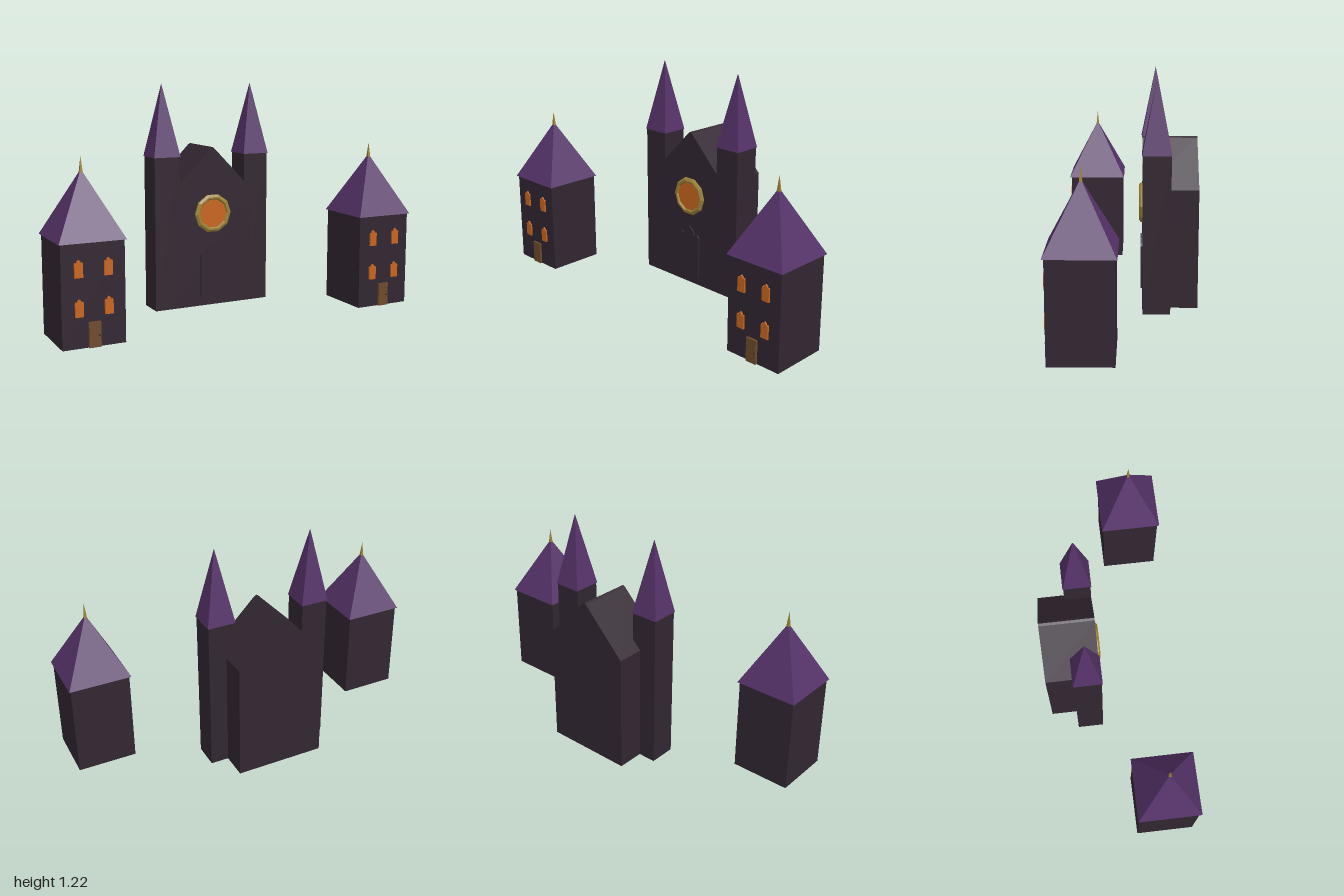
import * as THREE from 'three';

const mat = (name, color) => {
  const m = new THREE.MeshStandardMaterial({ color });
  m.name = name;
  return m;
};

export function createModel() {
  const stone = mat('dark stone', 0x322631);
  const slate = mat('purple slate', 0x553268);
  const glass = mat('amber glass', 0xc8651f);
  const wood = mat('brown wood', 0x6e4a2c);
  const gold = mat('old gold', 0x9c8238);
  const iron = mat('black iron', 0x1c1512);

  const add = (parent, name, geometry, material, x = 0, y = 0, z = 0) => {
    const mesh = new THREE.Mesh(geometry, material);
    mesh.name = name;
    mesh.position.set(x, y, z);
    parent.add(mesh);
    return mesh;
  };
  // Box standing on y
  const block = (parent, name, w, h, d, material, x, y, z) =>
    add(parent, name, new THREE.BoxGeometry(w, h, d), material, x, y + h / 2, z);
  // Square pyramid or small spike standing on y
  const pyramid = (parent, name, half, h, material, x, y, z) => {
    const g = new THREE.ConeGeometry(half * Math.SQRT2, h, 4).toNonIndexed();
    g.rotateY(Math.PI / 4);
    g.computeVertexNormals();
    return add(parent, name, g, material, x, y + h / 2, z);
  };
  const extrude = (points, depth) =>
    new THREE.ExtrudeGeometry(
      new THREE.Shape(points.map(([x, y]) => new THREE.Vector2(x, y))),
      { depth, bevelEnabled: false });
  // Opening with raised shoulders and a pointed head, w wide, h to the tip
  const archedPanel = (w, h, head, depth) => {
    const right = [[0.5, 0], [0.5, h - head], [0.42, h - head * 0.75],
      [0.27, h - head * 0.9], [0.2, h - head * 0.4]].map(([x, y]) => [x * w, y]);
    const left = right.map(([x, y]) => [-x, y]).reverse();
    return extrude([...right, [0, h], ...left], depth);
  };

  const model = new THREE.Group();
  model.name = 'churchAndTowers';

  // Church: nave with gable front
  const church = new THREE.Group();
  church.name = 'church';
  model.add(church);
  const gable = [[-0.242, 0], [0.242, 0], [0.242, 0.634], [0.012, 0.868],
    [0, 0.876], [-0.012, 0.868], [-0.242, 0.634]];
  add(church, 'nave', extrude(gable, 0.29), stone, 0, 0, -0.367);

  // Flanking bell towers with spires
  for (const s of [-1, 1]) {
    block(church, 'bellTower', 0.144, 0.83, 0.144, stone, s * 0.267, 0, -0.149);
    pyramid(church, 'spire', 0.076, 0.39, slate, s * 0.267, 0.83, -0.149);
  }

  // Stone church door
  add(church, 'churchDoor', archedPanel(0.146, 0.29, 0.055, 0.009), stone, 0, 0.05, -0.077);

  // Round window: ten-sided gold rim around amber glass
  const rim = new THREE.LatheGeometry(
    [[0.107, -0.004], [0.107, 0.01], [0.095, 0.018], [0.086, 0.018], [0.078, 0.008]]
      .map(([r, y]) => new THREE.Vector2(r, y)), 10).toNonIndexed();
  rim.rotateY(Math.PI / 10 * 5);
  rim.rotateX(Math.PI / 2);
  rim.computeVertexNormals();
  const rimMesh = add(church, 'roseWindowRim', rim, gold, 0, 0.513, -0.077);
  rimMesh.material.side = THREE.DoubleSide;
  add(church, 'roseWindowGlass',
    new THREE.CylinderGeometry(0.08, 0.08, 0.009, 32).rotateX(Math.PI / 2),
    glass, 0, 0.513, -0.0715);

  // Two free-standing towers
  const pane = archedPanel(0.042, 0.086, 0.018, 0.009);
  for (const s of [-1, 1]) {
    const tower = new THREE.Group();
    tower.name = s < 0 ? 'rightTower' : 'leftTower';
    tower.position.set(s * 0.833, 0, 0.2);
    model.add(tower);
    block(tower, 'towerBody', 0.314, 0.502, 0.312, stone, 0, 0, 0);
    pyramid(tower, 'towerRoof', 0.166, 0.325, slate, 0, 0.502, 0);
    pyramid(tower, 'finial', 0.009, 0.09, gold, 0, 0.8, 0);
    for (const x of [-0.073, 0.073])
      for (const y of [0.153, 0.34]) add(tower, 'window', pane, glass, x, y, 0.156);
    block(tower, 'towerDoor', 0.06, 0.124, 0.014, wood, 0, 0, 0.161);
    add(tower, 'doorKnob', new THREE.SphereGeometry(0.004, 8, 6), iron, 0.021, 0.058, 0.169);
  }
  return model;
}
